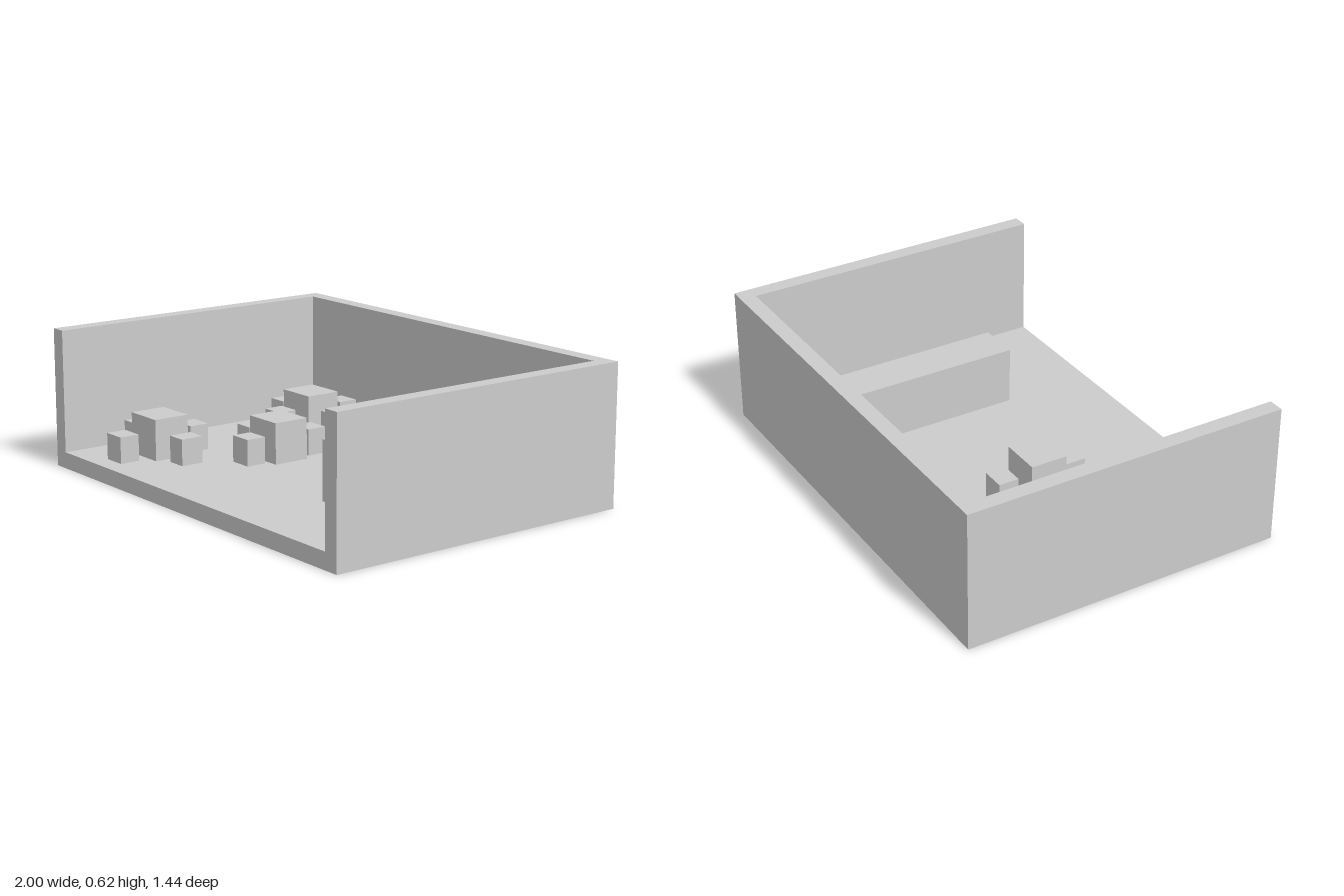
import * as THREE from 'three';

const material = new THREE.MeshStandardMaterial({ color: 0xcccccc, flatShading: true });

// Box given by its extents along x, y and z
function block(name, [x0, x1], [y0, y1], [z0, z1]) {
  const mesh = new THREE.Mesh(new THREE.BoxGeometry(x1 - x0, y1 - y0, z1 - z0), material);
  mesh.position.set((x0 + x1) / 2, (y0 + y1) / 2, (z0 + z1) / 2);
  mesh.name = name;
  return mesh;
}

// Box given by its centre and size on the floor
function furniture(name, x, z, width, depth, top) {
  return block(name, [x - width / 2, x + width / 2], [FLOOR, top], [z - depth / 2, z + depth / 2]);
}

const FLOOR = 0.073, TOP = 0.617, WALL = 0.07, HALF_DEPTH = 0.72;

// Each table with the centres of the seats around it: [x, z, turned sideways]
const settings = [
  { table: [-0.607, -0.388], seats: [[-0.615, -0.57], [-0.615, -0.222], [-0.777, -0.377, true], [-0.435, -0.402, true]] },
  { table: [-0.286, 0.034], seats: [[-0.284, -0.135], [-0.294, 0.185], [-0.463, 0.04, true]] },
  { table: [-0.65, 0.408], seats: [[-0.648, 0.238], [-0.663, 0.59], [-0.826, 0.396, true], [-0.463, 0.396, true]] },
];

export function createModel() {
  const model = new THREE.Group();
  model.name = 'diningRoom';

  // Room shell, open at the front and top
  model.add(block('floor', [-1, 1], [0, FLOOR], [-HALF_DEPTH, HALF_DEPTH]));
  model.add(block('backWall', [-1, 1], [FLOOR, TOP], [-HALF_DEPTH, -HALF_DEPTH + WALL]));
  for (const [name, x] of [['leftWall', 1 - WALL / 2], ['rightWall', -1 + WALL / 2]]) {
    model.add(block(name, [x - WALL / 2, x + WALL / 2], [FLOOR, TOP], [-HALF_DEPTH + WALL, HALF_DEPTH]));
  }

  // Long counter running out from the back wall
  model.add(block('counter', [0.385, 0.573], [FLOOR, 0.331], [-HALF_DEPTH + WALL, 0.31]));

  // Tables with their seats
  settings.forEach(({ table, seats }, i) => {
    const set = new THREE.Group();
    set.name = `tableSet${i + 1}`;
    set.add(furniture('table', ...table, 0.188, 0.167, 0.256));
    for (const [x, z, sideways] of seats) {
      set.add(furniture('seat', x, z, sideways ? 0.092 : 0.107, sideways ? 0.105 : 0.092, 0.19));
    }
    model.add(set);
  });

  return model;
}
